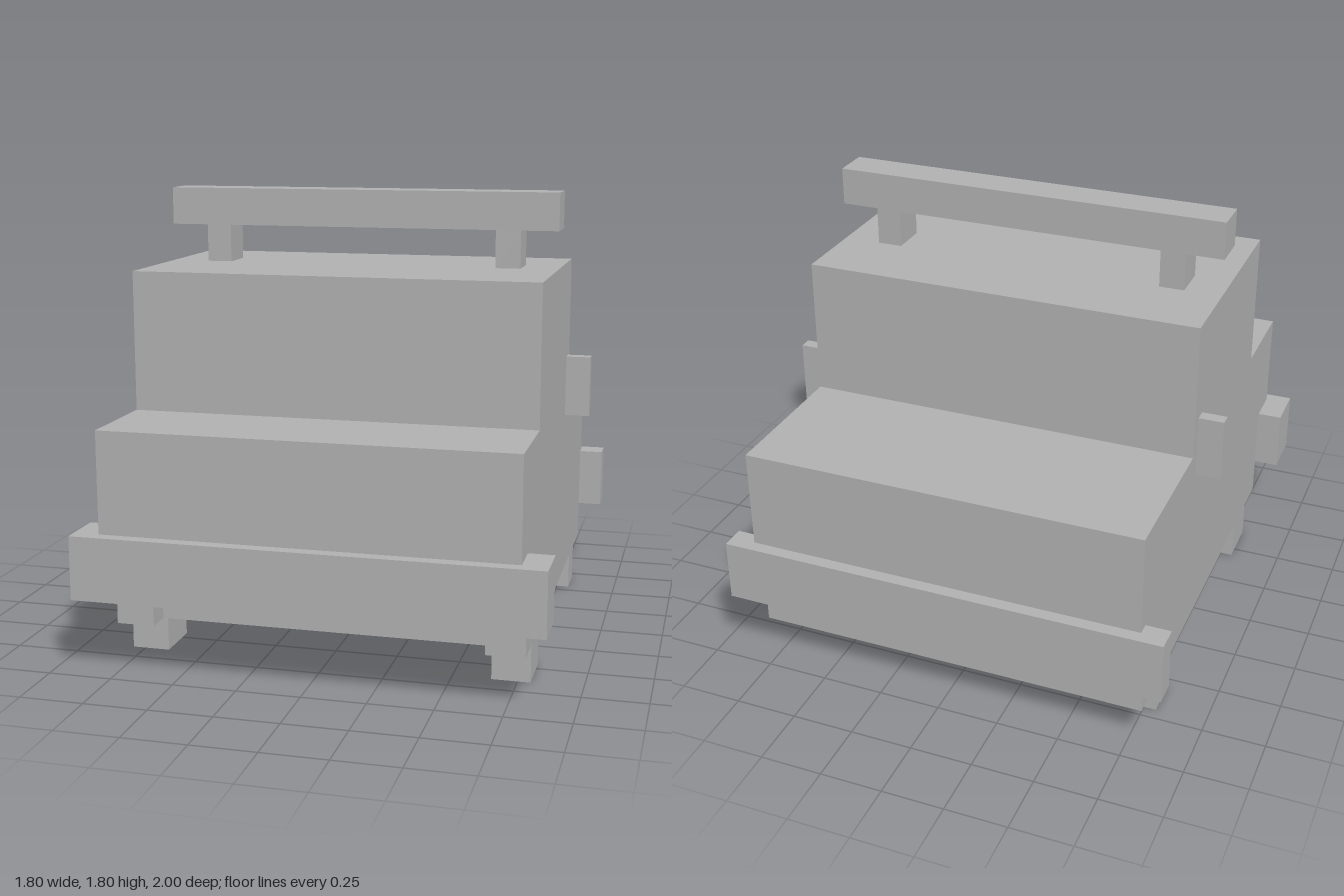
import * as THREE from 'three';

export function createModel() {
  const group = new THREE.Group();
  const grey = new THREE.MeshStandardMaterial({ color: 0xb0b0b0 });
  grey.name = 'grey';

  // Box given by its limits along each axis
  const box = (name, [x0, x1], [y0, y1], [z0, z1]) => {
    const mesh = new THREE.Mesh(new THREE.BoxGeometry(x1 - x0, y1 - y0, z1 - z0), grey);
    mesh.position.set((x0 + x1) / 2, (y0 + y1) / 2, (z0 + z1) / 2);
    mesh.name = name;
    group.add(mesh);
  };

  // Body: stepped side profile (z, y) extruded across the width
  const profile = [
    [-0.9, 0.15], [0.7, 0.15], [0.7, 0.3], [0.8, 0.3], [0.8, 0.55], [0.95, 0.55],
    [0.95, 0.95], [0.55, 0.95], [0.55, 1.5], [-0.35, 1.5], [-0.35, 0.95],
    [-0.95, 0.95], [-0.95, 0.55], [-0.9, 0.55],
  ].map(([z, y]) => new THREE.Vector2(z, y));
  const bodyGeometry = new THREE.ExtrudeGeometry(new THREE.Shape(profile), { depth: 1.6, bevelEnabled: false });
  bodyGeometry.translate(0, 0, -0.8).rotateY(-Math.PI / 2);
  const body = new THREE.Mesh(bodyGeometry, grey);
  body.name = 'body';
  group.add(body);

  // Bumpers
  box('frontBumper', [-0.9, 0.9], [0.3, 0.55], [0.8, 1]);
  box('backBumper', [-0.9, 0.9], [0.3, 0.55], [-1, -0.9]);

  // Roof bar
  box('roofBar', [-0.8, 0.8], [1.65, 1.8], [-0.05, 0.1]);

  // Paired parts
  for (const [side, s] of [['left', 1], ['right', -1]]) {
    const span = (a, b) => (s > 0 ? [a, b] : [-b, -a]);
    box(side + 'RoofBarPost', span(0.55, 0.65), [1.5, 1.65], [-0.05, 0.1]);
    box(side + 'Mirror', span(0.8, 0.9), [0.85, 1.1], [-0.3, -0.25]);
    box(side + 'BumperMount', span(0.65, 0.8), [0.15, 0.3], [0.7, 0.8]);
    box(side + 'FrontWheel', span(0.65, 0.8), [0, 0.15], [0.45, 0.65]);
    box(side + 'BackWheel', span(0.65, 0.8), [0, 0.15], [-0.7, -0.55]);
  }

  return group;
}
